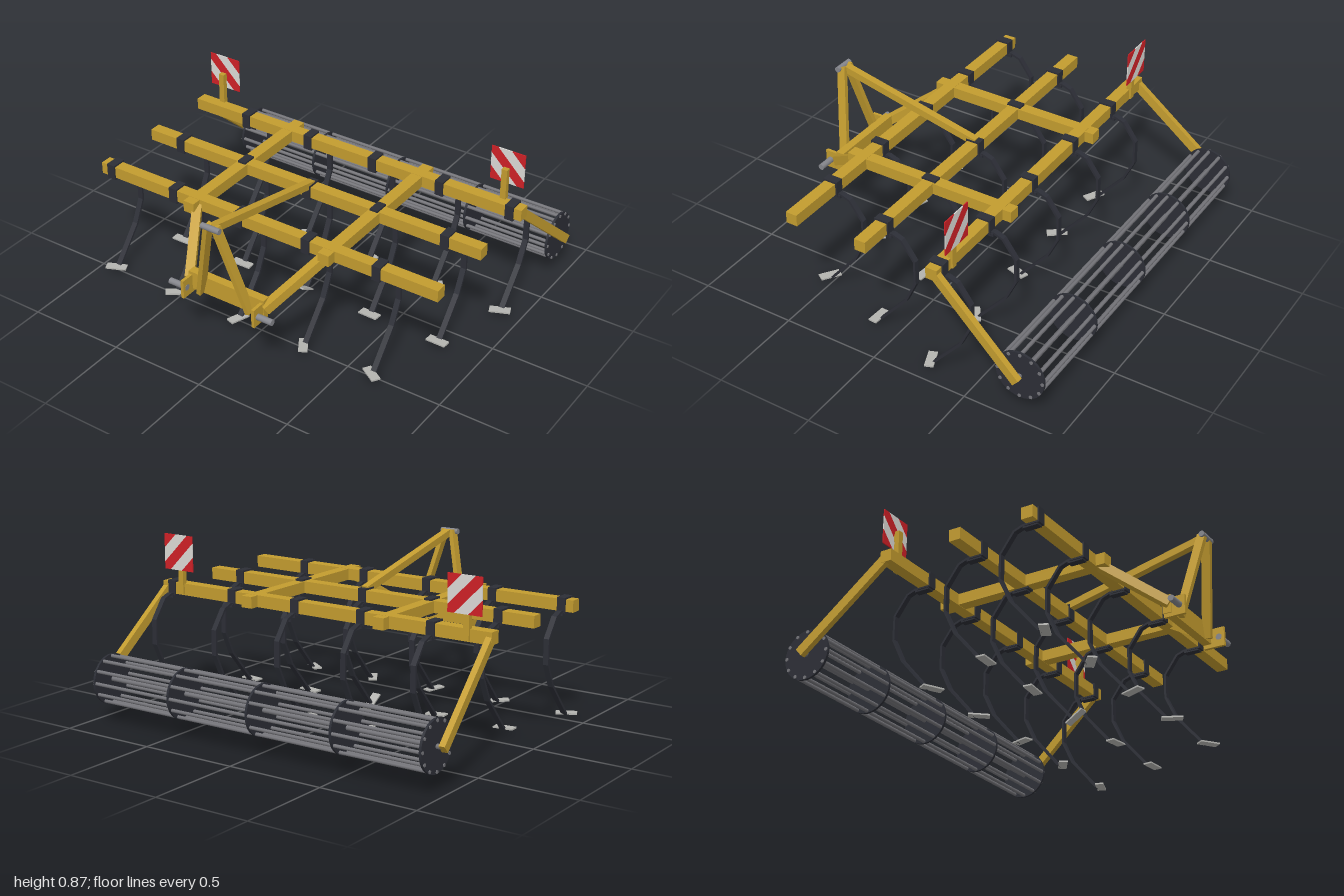
import * as THREE from 'three';

const mat = (name, color) => {
  const m = new THREE.MeshStandardMaterial({ color });
  m.name = name;
  return m;
};
const V = (x, y, z) => new THREE.Vector3(x, y, z);

export function createModel() {
  const yellow = mat('frame yellow', 0xc39c2f);
  const dark = mat('tine black', 0x2c2e36);
  const steel = mat('pin steel', 0x85868c);
  const barGrey = mat('roller bar grey', 0x737378);
  const pale = mat('share silver', 0xb4b4b0);
  const red = mat('sign red', 0xcf2026);
  const white = mat('sign white', 0xdcdad6);

  const model = new THREE.Group();
  model.name = 'cultivator';

  const add = (parent, name, geo, material, x = 0, y = 0, z = 0) => {
    const m = new THREE.Mesh(geo, material);
    m.name = name;
    m.position.set(x, y, z);
    parent.add(m);
    return m;
  };
  const box = (parent, name, w, h, d, material, x, y, z) =>
    add(parent, name, new THREE.BoxGeometry(w, h, d), material, x, y, z);
  // Rod lying along x
  const rod = (parent, name, r, len, material, x, y, z, sides = 12) =>
    add(parent, name, new THREE.CylinderGeometry(r, r, len, sides).rotateZ(Math.PI / 2), material, x, y, z);
  // Rectangular bar running from a to b
  const bar = (parent, name, a, b, w, h, material, up = V(0, 1, 0)) => {
    const mid = a.clone().add(b).multiplyScalar(0.5);
    const m = box(parent, name, w, h, a.distanceTo(b), material, mid.x, mid.y, mid.z);
    m.up.copy(up);
    m.lookAt(b);
    return m;
  };

  // Main frame: three cross beams and two long beams
  const frameY = 0.585;
  const rowZ = [0.463, 0.078, -0.307];
  for (const z of rowZ) box(model, 'crossBeam', 1.92, 0.06, 0.06, yellow, 0, frameY, z);
  for (const s of [-1, 1]) box(model, 'longBeam', 0.06, 0.058, 0.925, yellow, s * 0.385, frameY, 0.078);

  // Curved spring tine, a ribbon profile extruded sideways
  const path = [[-0.01, 0.55], [-0.055, 0.556], [-0.1, 0.54], [-0.17, 0.445], [-0.171, 0.32],
    [-0.115, 0.2], [0.035, 0.024]].map(([z, y]) => new THREE.Vector2(z, y));
  const sides = [[], []];
  path.forEach((p, i) => {
    const a = path[Math.max(i - 1, 0)], b = path[Math.min(i + 1, path.length - 1)];
    const t = b.clone().sub(a).normalize().multiplyScalar(0.006);
    sides[0].push(new THREE.Vector2(p.x - t.y, p.y + t.x));
    sides[1].unshift(new THREE.Vector2(p.x + t.y, p.y - t.x));
  });
  const tineGeo = new THREE.ExtrudeGeometry(new THREE.Shape([...sides[0], ...sides[1]]),
    { depth: 0.028, bevelEnabled: false }).translate(0, 0, -0.014).rotateY(-Math.PI / 2);

  const step = 0.1283;
  const rows = [[-7, -4, -1, 2, 5], [-6, -3, 0, 3, 6], [-5, -2, 1, 4, 7]];
  rows.forEach((row, r) => row.forEach((n) => {
    const g = new THREE.Group();
    g.name = 'tineUnit';
    g.position.set(n * step, 0, rowZ[r]);
    model.add(g);
    box(g, 'clamp', 0.044, 0.078, 0.076, dark, 0, frameY, 0);
    box(g, 'clampFoot', 0.036, 0.016, 0.08, dark, 0, 0.546, -0.012);
    add(g, 'tine', tineGeo, dark);
    bar(g, 'share', V(0, 0.043, 0.005), V(0, 0.007, 0.104), 0.045, 0.008, pale);
  }));

  // Headstock: lower beam, hitch plates, pins, struts and the A-frame
  box(model, 'hitchBeam', 0.43, 0.092, 0.043, yellow, 0, 0.376, 0.75);
  for (const s of [-1, 1]) {
    box(model, 'hitchPlate', 0.016, 0.097, 0.108, yellow, s * 0.202, 0.359, 0.786);
    rod(model, 'hitchPin', 0.016, 0.1, steel, s * 0.243, 0.359, 0.812);
    bar(model, 'hitchStrut', V(s * 0.38, 0.585, 0.475), V(s * 0.215, 0.375, 0.765), 0.045, 0.045, yellow);
    bar(model, 'mastBar', V(s * 0.14, 0.335, 0.778), V(s * 0.022, 0.798, 0.853), 0.024, 0.045,
      yellow, V(0, 0, 1));
  }
  rod(model, 'topPin', 0.015, 0.1, steel, 0, 0.79, 0.862);
  bar(model, 'mastBrace', V(0, 0.785, 0.84), V(0, 0.613, 0.07), 0.038, 0.036, yellow);

  // Cage roller
  const roller = new THREE.Group();
  roller.name = 'roller';
  roller.position.set(0, 0.199, -0.757);
  model.add(roller);
  for (let i = -2; i <= 2; i++) rod(roller, 'rollerDisc', 0.126, 0.012, dark, i * 0.469, 0, 0, 32);
  for (let i = 0; i < 12; i++) {
    const a = (i * Math.PI) / 6;
    rod(roller, 'rollerBar', 0.009, 1.895, barGrey, 0, Math.cos(a) * 0.116, Math.sin(a) * 0.116, 8);
  }
  rod(roller, 'rollerAxle', 0.012, 1.94, barGrey, 0, 0, 0);
  for (const s of [-1, 1])
    bar(model, 'rollerArm', V(s * 0.943, 0.578, -0.318), V(s * 0.98, 0.192, -0.765), 0.03, 0.046, yellow);

  // Warning signs with diagonal bands, coloured right through
  const size = 0.18;
  const low = (c) => [Math.min(1, c), Math.max(0, c - 1)];
  const flip = ([x, y]) => [y, x];
  const bandShape = (a, b) => {
    const lower = [low(a), ...(a < 1 && b > 1 ? [[1, 0]] : []), low(b)];
    const pts = [...lower, ...lower.map(flip).reverse()];
    const unique = pts.filter((p, i) => pts.findIndex((q) => q[0] === p[0] && q[1] === p[1]) === i);
    return new THREE.Shape(unique.map(([x, y]) => new THREE.Vector2((x - 0.5) * size, (y - 0.5) * size)));
  };
  const cuts = [0, 0.4, 0.8, 1.2, 1.6, 2];
  for (const s of [-1, 1]) {
    box(model, 'signPost', 0.03, 0.215, 0.026, yellow, s * 0.833, 0.668, -0.335);
    const sign = new THREE.Group();
    sign.name = 'warningSign';
    sign.position.set(s * 0.832, 0.775, -0.361);
    model.add(sign);
    for (let i = 0; i < 5; i++)
      add(sign, 'signBand', new THREE.ExtrudeGeometry(bandShape(cuts[i], cuts[i + 1]),
        { depth: 0.005, bevelEnabled: false }), i % 2 ? white : red);
    box(sign, 'signBracket', 0.02, 0.03, 0.012, yellow, 0, -0.03, 0.01);
  }

  return model;
}
